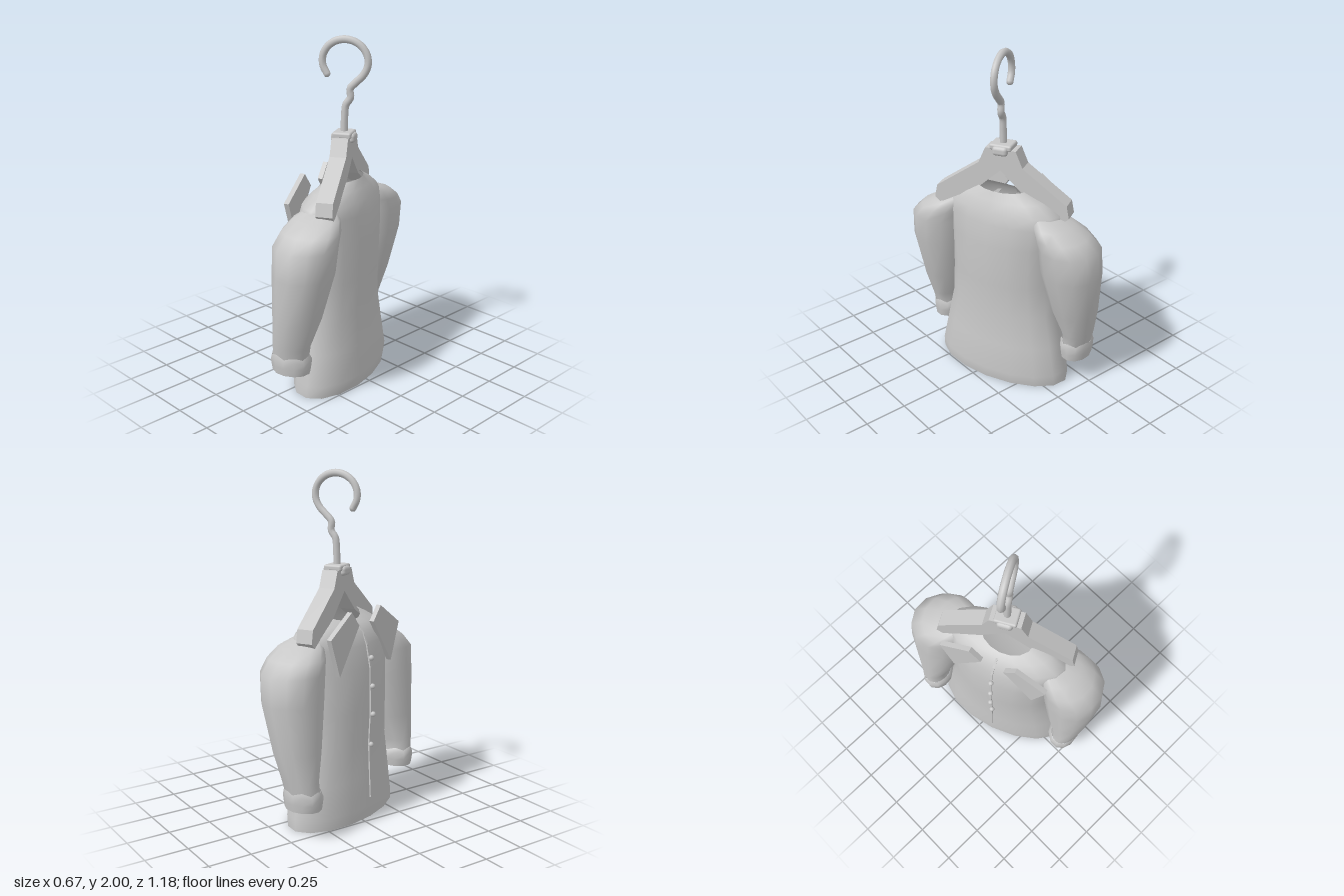
import * as THREE from 'three';
import { RoundedBoxGeometry } from 'three/addons/geometries/RoundedBoxGeometry.js';

const grey = new THREE.MeshStandardMaterial({ color: 0xc8c8c8, side: THREE.DoubleSide });
grey.name = 'plain grey';

function add(parent, name, geometry, x = 0, y = 0, z = 0) {
  const mesh = new THREE.Mesh(geometry, grey);
  mesh.name = name;
  mesh.position.set(x, y, z);
  parent.add(mesh);
  return mesh;
}

// Skin over elliptical sections [y, centreX, centreZ, halfX, halfZ, frontDrop, wave], listed upwards
function loft(sections, sides, capTop = false) {
  const pos = [], idx = [];
  for (const [y, cx, cz, a, b, drop = 0, wave = 0] of sections) {
    for (let j = 0; j < sides; j++) {
      const t = (j / sides) * Math.PI * 2;
      const lift = wave * (j % 2) - drop * Math.max(0, Math.sin(t));
      pos.push(cx + a * Math.cos(t), y + lift, cz + b * Math.sin(t));
    }
  }
  for (let i = 0; i < sections.length - 1; i++) {
    for (let j = 0; j < sides; j++) {
      const k = (j + 1) % sides;
      const p = i * sides + j, q = i * sides + k;
      idx.push(p, p + sides, q, q, p + sides, q + sides);
    }
  }
  if (capTop) {
    const start = (sections.length - 1) * sides;
    for (let j = 1; j < sides - 1; j++) idx.push(start, start + j + 1, start + j);
  }
  const g = new THREE.BufferGeometry();
  g.setAttribute('position', new THREE.Float32BufferAttribute(pos, 3));
  g.setIndex(idx);
  g.computeVertexNormals();
  return g;
}

// Flat outline extruded evenly about its own plane
function plate(points, depth) {
  const shape = new THREE.Shape(points.map(([x, y]) => new THREE.Vector2(x, y)));
  return new THREE.ExtrudeGeometry(shape, { depth, bevelEnabled: false }).translate(0, 0, -depth / 2);
}

function buildShirt() {
  const shirt = new THREE.Group();
  shirt.name = 'shirt';

  // Body, open at hem and neck
  add(shirt, 'shirtBody', loft([
    [0, 0, 0, 0.43, 0.215],
    [0.07, 0, -0.005, 0.427, 0.222],
    [0.25, 0, 0, 0.39, 0.208],
    [0.45, 0, 0.005, 0.347, 0.195],
    [0.65, 0, 0.005, 0.335, 0.205],
    [0.9, 0, 0, 0.345, 0.205],
    [1.03, 0, -0.005, 0.37, 0.185],
    [1.1, 0, -0.01, 0.365, 0.165],
    [1.16, 0, -0.015, 0.27, 0.132, 0.02],
    [1.21, 0, -0.02, 0.16, 0.105, 0.05],
  ], 16));

  for (const s of [1, -1]) {
    const side = s > 0 ? 'left' : 'right';
    // Sleeve and its cuff
    add(shirt, side + 'Sleeve', loft([
      [0.27, s * 0.46, 0.076, 0.08, 0.108],
      [0.34, s * 0.468, 0.068, 0.087, 0.113],
      [0.5, s * 0.455, 0.037, 0.135, 0.138],
      [0.77, s * 0.442, 0, 0.178, 0.172],
      [0.93, s * 0.43, -0.008, 0.18, 0.18],
      [1.0, s * 0.385, -0.017, 0.152, 0.168],
      [1.055, s * 0.335, -0.024, 0.11, 0.137],
      [1.1, s * 0.27, -0.026, 0.045, 0.075],
    ], 12, true));
    add(shirt, side + 'Cuff', loft([
      [0.176, s * 0.455, 0.078, 0.086, 0.113],
      [0.22, s * 0.455, 0.078, 0.092, 0.12],
      [0.25, s * 0.455, 0.078, 0.095, 0.122, 0, 0.015],
      [0.275, s * 0.46, 0.076, 0.084, 0.112, 0, 0.018],
    ], 12));
    // Collar flap
    const flap = [[0.07, 1.15], [0.14, 1.235], [0.33, 1.11], [0.25, 0.89]];
    add(shirt, side + 'CollarFlap', plate(flap.map(([x, y]) => [s * x, y]), 0.03), 0, 0, 0.165);
  }

  // Front opening strip, following the chest
  const front = [[0.12, 0.214], [0.25, 0.208], [0.45, 0.2], [0.65, 0.21], [0.9, 0.205], [1.03, 0.18], [1.09, 0.155], [1.14, 0.118]];
  const strip = [...front.map(([y, z]) => [z + 0.008, y]), ...front.slice().reverse().map(([y, z]) => [z - 0.004, y])];
  add(shirt, 'placket', plate(strip, 0.012).rotateY(-Math.PI / 2));

  // Buttons
  for (const [y, z] of [[0.955, 0.21], [0.79, 0.22], [0.625, 0.225], [0.44, 0.212]]) {
    add(shirt, 'button', new THREE.SphereGeometry(0.016, 10, 8), 0.006, y, z);
  }
  return shirt;
}

function buildHanger() {
  const hanger = new THREE.Group();
  hanger.name = 'hanger';

  // Sloping arms in one mirrored outline
  const half = [[0.09, 1.445], [0.13, 1.35], [0.39, 1.165], [0.405, 1.09], [0.37, 1.06], [0.14, 1.19]];
  const outline = [...half, [0, 1.32], ...half.slice().reverse().map(([x, y]) => [-x, y])];
  add(hanger, 'hangerArms', plate(outline, 0.095));

  // Clamp at the top
  add(hanger, 'hangerCap', new RoundedBoxGeometry(0.13, 0.035, 0.11, 2, 0.012), 0, 1.455, 0);
  add(hanger, 'hangerClamp', new RoundedBoxGeometry(0.09, 0.055, 0.14, 2, 0.02), 0, 1.437, 0);

  // Wire hook: kinked stem followed by an open ring
  const path = [[0, 1.45], [0.003, 1.56], [0.01, 1.62], [0.036, 1.66], [0.034, 1.71], [0.065, 1.745]];
  for (let i = 0; i <= 10; i++) {
    const t = THREE.MathUtils.degToRad(-38 + i * 25.5);
    path.push([0.005 + 0.13 * Math.cos(t), 1.86 + 0.119 * Math.sin(t)]);
  }
  const curve = new THREE.CatmullRomCurve3(path.map(([p, y]) => new THREE.Vector3(0, y, -p)));
  add(hanger, 'hook', new THREE.TubeGeometry(curve, 60, 0.021, 8));
  const [tipP, tipY] = path[path.length - 1];
  add(hanger, 'hookTip', new THREE.SphereGeometry(0.021, 8, 6), 0, tipY, -tipP);
  return hanger;
}

export function createModel() {
  const model = new THREE.Group();
  model.name = 'shirtOnHanger';
  const shirt = buildShirt();
  shirt.rotation.y = -1.235;
  const hanger = buildHanger();
  hanger.rotation.y = -Math.PI / 3;
  hanger.position.set(0.02, 0, -0.013);
  model.add(shirt, hanger);
  return model;
}
